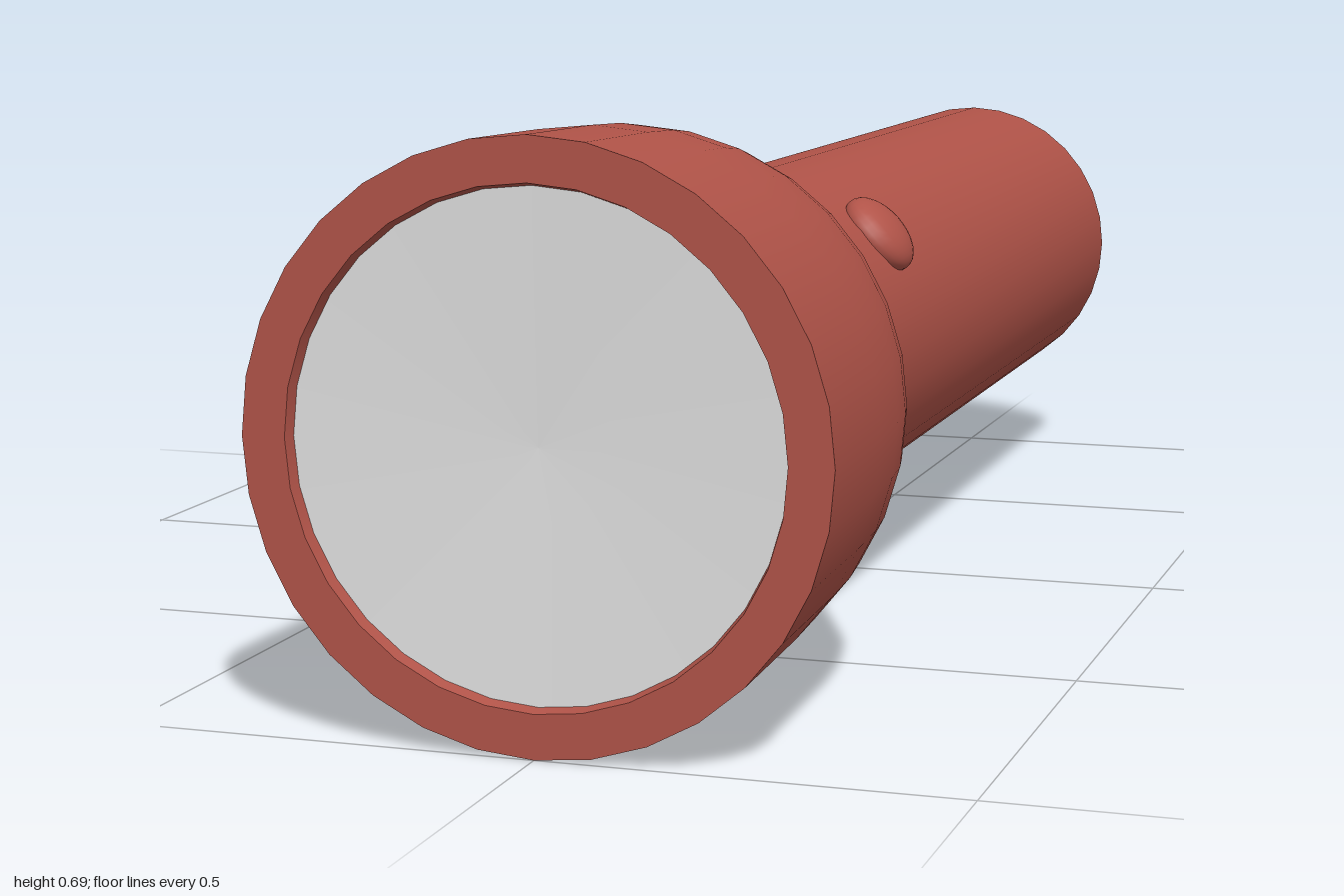
import * as THREE from 'three';

const SEGMENTS = 32;
const AXIS_Y = 0.344;

export function createModel() {
  const group = new THREE.Group();
  group.name = 'flashlight';

  const red = new THREE.MeshStandardMaterial({ color: 0xb05348 });
  red.name = 'casing red';
  const grey = new THREE.MeshStandardMaterial({ color: 0xe0e0e0 });
  grey.name = 'lens grey';

  // Turn a [z, radius] profile around the long axis
  function turned(name, profile, material) {
    const points = profile.map(([z, r]) => new THREE.Vector2(r, z));
    const geometry = new THREE.LatheGeometry(points, SEGMENTS);
    geometry.rotateX(Math.PI / 2);
    const mesh = new THREE.Mesh(geometry, material);
    mesh.name = name;
    mesh.position.y = AXIS_Y;
    group.add(mesh);
  }

  // Handle, separate pieces keep the edges sharp
  turned('endCap', [[-1, 0], [-1, 0.222]], red);
  turned('handle', [[-1, 0.222], [0.41, 0.228]], red);

  // Flared head
  turned('head', [
    [0.41, 0.228], [0.57, 0.302], [0.61, 0.317], [0.65, 0.326],
    [0.71, 0.333], [0.8, 0.338], [1, 0.344],
  ], red);
  turned('rim', [[1, 0.344], [1, 0.292]], red);
  turned('rimInside', [[1, 0.292], [0.985, 0.288]], red);

  // Slightly dished lens
  turned('lens', [[0.985, 0.288], [0.975, 0]], grey);

  // Domed button on the upper left side of the handle
  const angle = THREE.MathUtils.degToRad(42);
  const button = new THREE.Mesh(new THREE.SphereGeometry(1, 24, 16), red);
  button.name = 'switchButton';
  button.scale.set(0.031, 0.057, 0.057);
  button.rotation.z = angle;
  button.position.set(0.226 * Math.cos(angle), AXIS_Y + 0.226 * Math.sin(angle), 0.2);
  group.add(button);

  return group;
}
